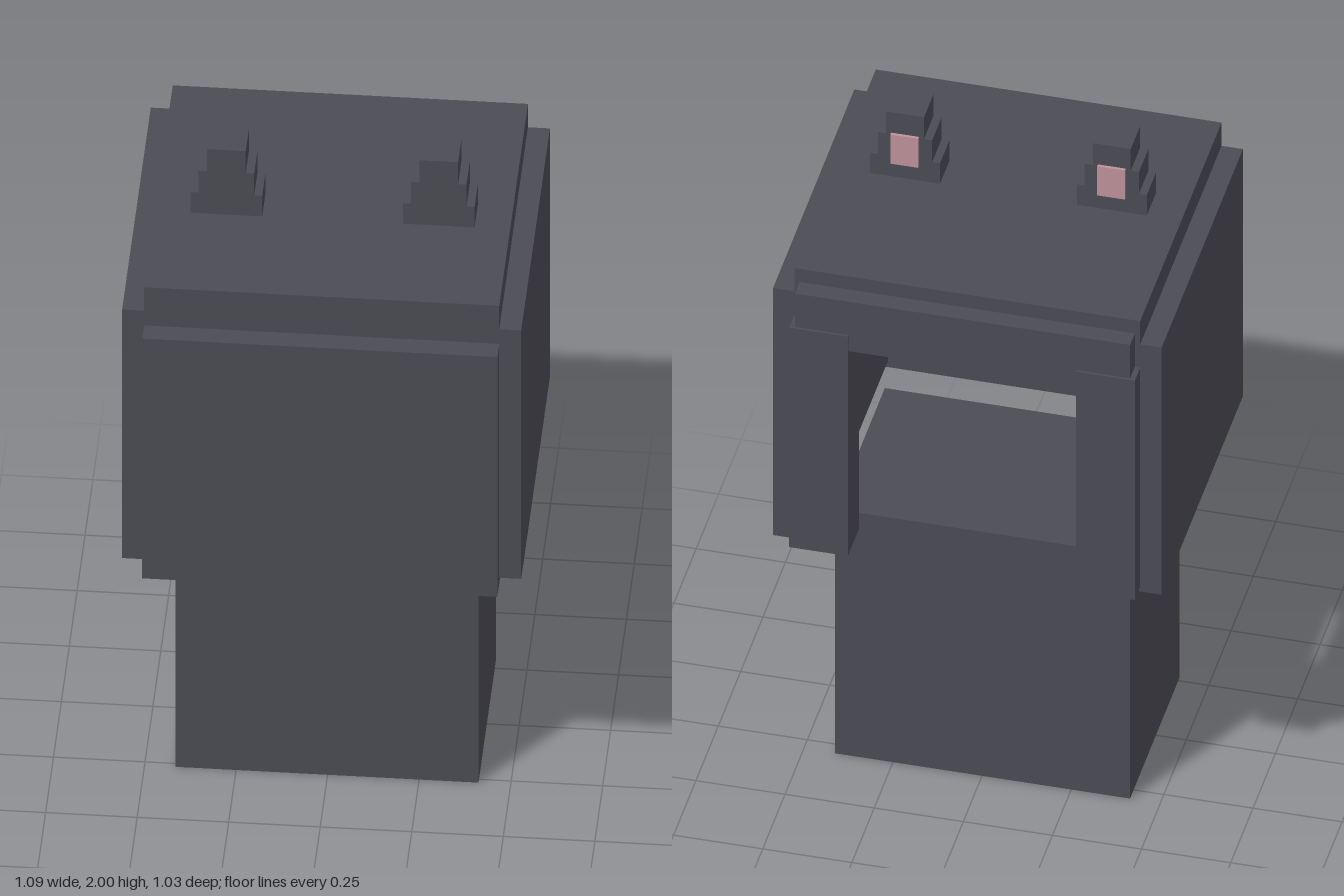
import * as THREE from 'three';

const charcoal = new THREE.MeshStandardMaterial({ color: 0x4b4b54 });
charcoal.name = 'charcoal';
const pink = new THREE.MeshStandardMaterial({ color: 0xbf929a });
pink.name = 'dustyPink';

// Box given by its min and max on each axis
function block(name, [x0, x1], [y0, y1], [z0, z1], material = charcoal) {
  const mesh = new THREE.Mesh(new THREE.BoxGeometry(x1 - x0, y1 - y0, z1 - z0), material);
  mesh.position.set((x0 + x1) / 2, (y0 + y1) / 2, (z0 + z1) / 2);
  mesh.name = name;
  return mesh;
}

// Stepped ear, with a thin inlay on its back
function makeEar(side) {
  const ear = new THREE.Group();
  ear.name = side > 0 ? 'leftEar' : 'rightEar';
  const tiers = [[0.098, 1.78, 1.85], [0.076, 1.85, 1.925], [0.053, 1.925, 2]];
  for (const [half, y0, y1] of tiers) {
    ear.add(block('earTier', [-half, half], [y0, y1], [0.005, 0.11]));
  }
  ear.add(block('earInlay', [-0.039, 0.039], [1.83, 1.93], [-0.004, 0.005], pink));
  ear.position.x = side * 0.29;
  return ear;
}

export function createModel() {
  const model = new THREE.Group();
  model.name = 'blockHood';

  model.add(block('body', [-0.415, 0.412], [0, 0.84], [-0.29, 0.265]));

  // Hollow hood, open at the back and below
  const hood = new THREE.Group();
  hood.name = 'hood';
  hood.add(block('roof', [-0.485, 0.485], [1.61, 1.78], [-0.455, 0.455]));
  hood.add(block('frontWall', [-0.485, 0.485], [0.83, 1.65], [0.37, 0.515]));
  hood.add(block('backLintel', [-0.47, 0.47], [1.565, 1.735], [-0.508, -0.39]));
  for (const side of [1, -1]) {
    const span = (a, b) => (side > 0 ? [a, b] : [-b, -a]);
    hood.add(block('sideWall', span(0.43, 0.545), [0.85, 1.7], [-0.455, 0.455]));
    hood.add(block('backPost', span(0.32, 0.485), [0.865, 1.62], [-0.515, -0.39]));
    hood.add(makeEar(side));
  }
  model.add(hood);
  return model;
}
